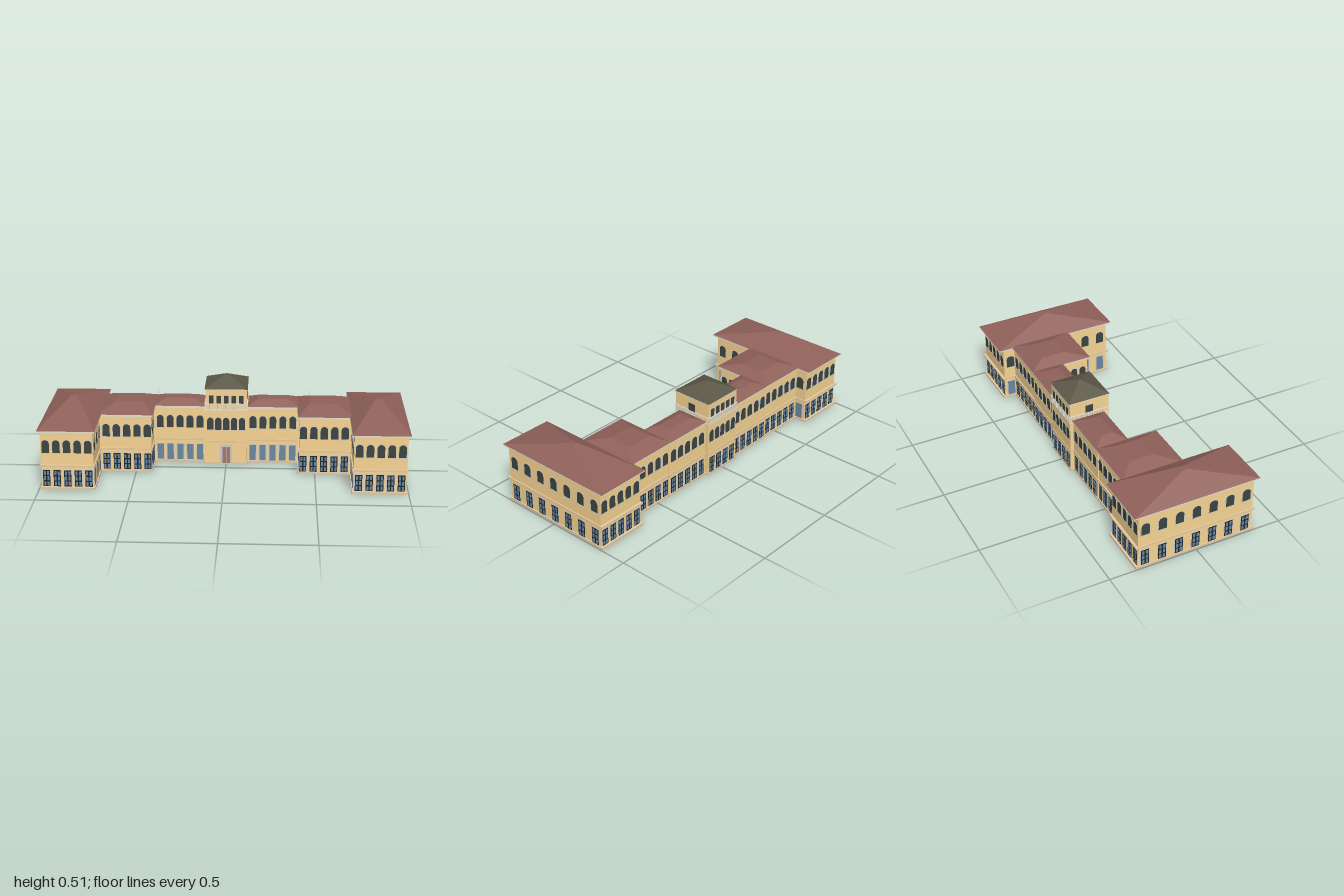
import * as THREE from 'three';
import { mergeGeometries } from 'three/addons/utils/BufferGeometryUtils.js';

const mat = (color) => new THREE.MeshStandardMaterial({ color, flatShading: true });
const M = {
  wall: mat(0xf8d592), band: mat(0xe6caa0), cornice: mat(0xe6e0d2), roof: mat(0x90615a),
  towerRoof: mat(0x5c5848), frame: mat(0xd2d2d0), dark: mat(0x20282a), glass: mat(0x6a88a2),
  arch: mat(0x3d443e), door: mat(0xa07a6a),
};
const T = 0.003; // wall thickness

// Box geometry from min/max corners
function box(x0, x1, y0, y1, z0, z1) {
  return new THREE.BoxGeometry(x1 - x0, y1 - y0, z1 - z0)
    .translate((x0 + x1) / 2, (y0 + y1) / 2, (z0 + z1) / 2);
}
function add(parent, name, material, geos) {
  const list = [].concat(geos);
  const m = new THREE.Mesh(list.length > 1 ? mergeGeometries(list) : list[0], material);
  m.name = name;
  parent.add(m);
}
// n evenly spaced positions between a and b
const spread = (a, b, n) => Array.from({ length: n }, (_, i) => a + (b - a) * (i + 0.5) / n);

// Hip roof: a box whose top corners are pulled in to a smaller rectangle
function hipRoof(r, top, y0, y1) {
  const g = box(r[0], r[1], y0, y1, r[2], r[3]).toNonIndexed();
  const p = g.attributes.position, mx = (r[0] + r[1]) / 2, mz = (r[2] + r[3]) / 2;
  for (let i = 0; i < p.count; i++) {
    if (p.getY(i) < (y0 + y1) / 2) continue;
    p.setX(i, p.getX(i) > mx ? top[1] : top[0]);
    p.setZ(i, p.getZ(i) > mz ? top[3] : top[2]);
  }
  g.computeVertexNormals();
  return g;
}

// Window opening outline with a shallow elliptical head
function archPath(P, w, y0, y1, rise) {
  const p = new P();
  p.moveTo(-w / 2, y0);
  p.lineTo(w / 2, y0);
  p.lineTo(w / 2, y1 - rise);
  p.absellipse(0, y1 - rise, w / 2, rise, 0, Math.PI, false, 0);
  p.lineTo(-w / 2, y0);
  return p;
}
const extrude = (shape, depth, z) =>
  new THREE.ExtrudeGeometry(shape, { depth, bevelEnabled: false, curveSegments: 10 }).translate(0, 0, z);

function archWindow(w) {
  const g = new THREE.Group();
  g.name = 'archedWindow';
  const trim = archPath(THREE.Shape, w, 0.203, 0.284, 0.024);
  trim.holes.push(archPath(THREE.Path, w * 0.88, 0.207, 0.28, 0.021));
  add(g, 'windowTrim', M.frame, extrude(trim, 0.005, -0.003));
  add(g, 'windowPane', M.arch, extrude(archPath(THREE.Shape, w * 0.89, 0.206, 0.2805, 0.021), 0.004, -0.003));
  return g;
}

// Tall ground window: pale surround, dark casement, two columns of three panes
function casement(w) {
  const g = new THREE.Group();
  g.name = 'casementWindow';
  const zin = -T - 0.001;
  add(g, 'windowSurround', M.frame, box(-w / 2, w / 2, 0.012, 0.11, zin, 0.001));
  add(g, 'casementFrame', M.dark, box(-w * 0.42, w * 0.42, 0.013, 0.107, zin - 0.001, 0.002));
  const panes = [];
  for (const s of [-1, 1]) for (let r = 0; r < 3; r++) {
    const cx = s * w * 0.2, y = 0.018 + r * 0.03;
    panes.push(box(cx - w * 0.12, cx + w * 0.12, y, y + 0.023, zin - 0.002, 0.003));
  }
  add(g, 'windowPanes', M.glass, panes);
  return g;
}

// Plain glazed door of the courtyard front
function glassDoor(w) {
  const g = new THREE.Group();
  g.name = 'glassDoor';
  add(g, 'doorSurround', M.frame, box(-w / 2, w / 2, 0.012, 0.11, -T - 0.001, 0.001));
  add(g, 'doorPane', M.glass, box(-w * 0.4, w * 0.4, 0.013, 0.106, -T - 0.002, 0.002));
  return g;
}

// Small square-headed window of the tower top
function towerWindow(w) {
  const g = new THREE.Group();
  g.name = 'towerWindow';
  add(g, 'windowTrim', M.frame, box(-w / 2 - 0.003, w / 2 + 0.003, 0.362, 0.414, -0.004, 0.001));
  add(g, 'windowPane', M.arch, box(-w / 2, w / 2, 0.362, 0.41, -0.004, 0.002));
  return g;
}

// Place windows on one side of footprint r = [x0, x1, z0, z1], at world positions
function row(parent, r, side, positions, make, w) {
  const turn = { front: 0, right: Math.PI / 2, back: Math.PI, left: -Math.PI / 2 }[side];
  for (const p of positions) {
    const o = make(w);
    o.rotation.y = turn;
    if (side === 'front' || side === 'back') o.position.set(p, 0, side === 'front' ? r[3] : r[2]);
    else o.position.set(side === 'right' ? r[1] : r[0], 0, p);
    parent.add(o);
  }
}
const grow = (r, dx, dz) => [r[0] - dx, r[1] + dx, r[2] - dz, r[3] + dz];

// Four thin walls around a footprint, leaving it open above and below
function ring(r, y0, y1, tx, tz) {
  const [a, b, c, d] = r;
  return [box(a, b, y0, y1, d - tz, d), box(a, b, y0, y1, c, c + tz),
    box(a, a + tx, y0, y1, c + tz, d - tz), box(b - tx, b, y0, y1, c + tz, d - tz)];
}

// Hollow ground floor, closed upper floor, plinth and string course
function walls(g, r, top, dx, dz) {
  add(g, 'groundFloorWalls', M.wall, ring(r, 0, 0.13, T, T));
  add(g, 'upperFloor', M.wall, box(r[0], r[1], 0.128, top, r[2], r[3]));
  add(g, 'plinth', M.band, ring(grow(r, dx, dz), 0, 0.012, dx, dz));
  add(g, 'stringCourse', M.band, ring(grow(r, dx, dz), 0.13, 0.14, dx, dz));
}

// One hip-roofed range; dx, dz are the eaves overhangs
function range(name, s, r, dx, dz, roofTop, eave, ridge, sides) {
  const g = new THREE.Group();
  g.name = name;
  const flip = (q) => (s > 0 ? q : [-q[1], -q[0], q[2], q[3]]);
  const f = flip(r), e = grow(f, dx, dz), c = grow(f, dx / 2, dz / 2);
  walls(g, f, eave - 0.005, dx / 2, dz / 2);
  add(g, 'lowerCornice', M.cornice, box(c[0], c[1], eave - 0.013, eave - 0.007, c[2], c[3]));
  add(g, 'eaves', M.cornice, box(e[0], e[1], eave - 0.007, eave, e[2], e[3]));
  add(g, 'hipRoof', M.roof, hipRoof(e, flip(roofTop), eave, ridge));
  for (const [side, pos, w, ground = casement] of sides) {
    const long = side === 'front' || side === 'back';
    const world = long ? side : (side === 'outer') === (s > 0) ? 'right' : 'left';
    const p = long ? pos.map((x) => x * s) : pos;
    row(g, f, world, p, ground, w);
    row(g, f, world, p, archWindow, w);
  }
  return g;
}

function tower() {
  const g = new THREE.Group();
  g.name = 'tower';
  const r = [-0.117, 0.117, -0.292, -0.06], cz = -0.176;
  walls(g, r, 0.447, 0.003, 0.003);
  add(g, 'towerEaves', M.cornice, box(-0.121, 0.121, 0.444, 0.449, cz - 0.121, cz + 0.121));
  add(g, 'towerRoof', M.towerRoof,
    hipRoof([-0.121, 0.121, cz - 0.121, cz + 0.121], [-0.001, 0.001, cz - 0.001, cz + 0.001], 0.449, 0.506));
  for (const side of ['front', 'back']) {
    row(g, r, side, spread(-0.112, 0.112, 5), archWindow, 0.04);
    row(g, r, side, spread(-0.105, 0.105, 5), towerWindow, 0.026);
  }
  row(g, r, 'back', spread(-0.112, 0.112, 4), casement, 0.046);
  for (const side of ['left', 'right']) row(g, r, side, [cz], towerWindow, 0.046);
  // Entrance door
  add(g, 'doorSurround', M.frame, box(-0.034, 0.034, 0.004, 0.115, r[3] - 0.004, r[3] + 0.002));
  add(g, 'entranceDoor', M.door, [box(-0.022, -0.001, 0.006, 0.103, r[3] - 0.005, r[3] + 0.004),
    box(0.001, 0.022, 0.006, 0.103, r[3] - 0.005, r[3] + 0.004)]);
  // Balustrade
  const b = grow(r, 0.005, 0.005);
  add(g, 'balconySlab', M.cornice, ring(b, 0.322, 0.33, 0.008, 0.008));
  add(g, 'balconyRail', M.cornice, ring(b, 0.359, 0.365, 0.008, 0.008));
  const posts = [];
  for (const k of spread(-0.12, 0.12, 16)) for (const s of [-1, 1]) {
    const h = 0.0025, e = s * 0.119;
    posts.push(box(k - h, k + h, 0.33, 0.359, cz + e - h, cz + e + h));
    posts.push(box(e - h, e + h, 0.33, 0.359, cz + k - h, cz + k + h));
  }
  add(g, 'balusters', M.cornice, posts);
  return g;
}

export function createModel() {
  const model = new THREE.Group();
  model.name = 'villa';
  const long = spread(-0.343, 0.343, 7);
  for (const s of [1, -1]) {
    const label = s > 0 ? 'left' : 'right';
    // End wing
    const wx = spread(0.7, 0.988, 5);
    model.add(range(label + 'Wing', s, [0.701, 0.987, -0.335, 0.335], 0.013, 0.028,
      [0.826, 0.862, -0.015, 0.015], 0.34, 0.425, [
        ['front', wx, 0.046], ['back', wx, 0.046], ['outer', long, 0.054],
        ['inner', long.filter((z) => z > 0.09), 0.054, glassDoor],
        ['inner', long.filter((z) => z < -0.28), 0.054, glassDoor]]));
    // Intermediate block
    const mx = spread(0.405, 0.693, 5);
    model.add(range(label + 'Block', s, [0.412, 0.701, -0.266, 0.069], 0.011, 0.014,
      [0.468, 0.618, -0.19, -0.05], 0.339, 0.375, [
        ['front', mx, 0.046], ['back', mx, 0.046], ['inner', spread(-0.094, 0.064, 3), 0.044]]));
    // Connecting gallery
    const gx = spread(0.122, 0.404, 5);
    model.add(range(label + 'Gallery', s, [0.117, 0.412, -0.272, -0.094], 0.002, 0.008,
      [0.18, 0.345, -0.218, -0.145], 0.337, 0.366, [
        ['front', gx, 0.044, glassDoor], ['back', gx, 0.046]]));
  }
  model.add(tower());
  return model;
}
